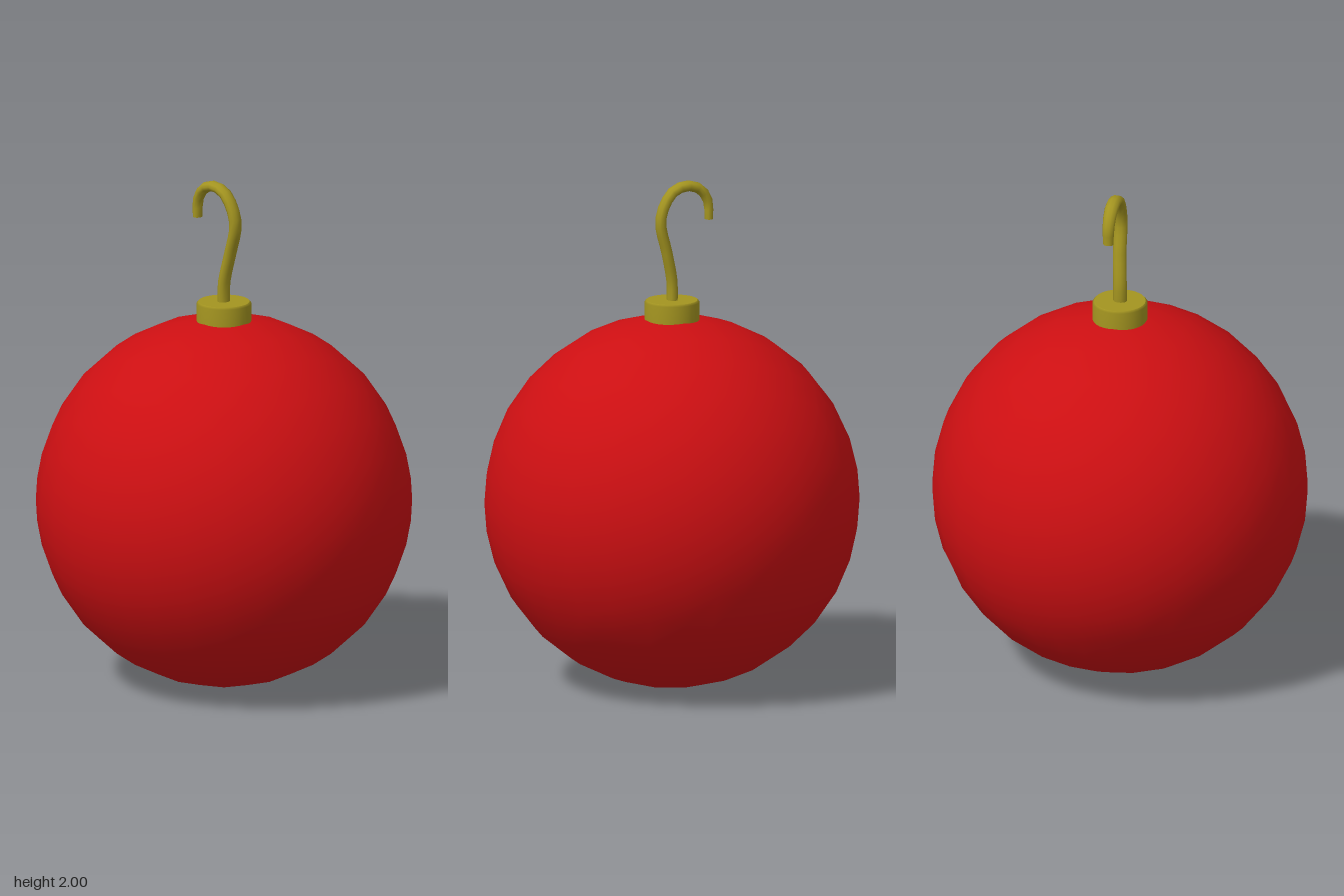
import * as THREE from 'three';

const red = new THREE.MeshStandardMaterial({ color: 0xcc0f12 });
const brass = new THREE.MeshStandardMaterial({ color: 0xa39420 });

function part(name, geometry, material, parent) {
  const mesh = new THREE.Mesh(geometry, material);
  mesh.name = name;
  parent.add(mesh);
  return mesh;
}

// Cube rounded into a ball, with grid lines spread so the cells stay even
function cubeSphere(radius) {
  const spread = [0, 0.167, 0.364, 0.634, 1];
  const warp = (c) => Math.sign(c) * spread[Math.round(Math.abs(c) * 4)];
  const geometry = new THREE.BoxGeometry(2, 2, 2, 8, 8, 8);
  const { position, normal } = geometry.attributes;
  const v = new THREE.Vector3();
  for (let i = 0; i < position.count; i++) {
    v.fromBufferAttribute(position, i);
    v.set(warp(v.x), warp(v.y), warp(v.z)).normalize();
    normal.setXYZ(i, v.x, v.y, v.z);
    position.setXYZ(i, v.x * radius, v.y * radius, v.z * radius);
  }
  return geometry;
}

export function createModel() {
  const group = new THREE.Group();
  group.name = 'ornament';

  // Ball
  part('ball', cubeSphere(0.732), red, group).position.y = 0.732;

  // Cap: side, small bevel and flat top, each with its own normals
  const cap = new THREE.Group();
  cap.name = 'cap';
  group.add(cap);
  const rim = [[0.107, 1.43], [0.107, 1.522], [0.1, 1.53]].map((p) => new THREE.Vector2(...p));
  part('capSide', new THREE.LatheGeometry(rim, 32), brass, cap);
  const top = part('capTop', new THREE.CircleGeometry(0.1, 32), brass, cap);
  top.rotation.x = -Math.PI / 2;
  top.position.y = 1.53;

  // Wire hook, slightly wider in depth than in the plane of its curve
  const hook = new THREE.Group();
  hook.name = 'hook';
  hook.scale.z = 1.3;
  group.add(hook);
  const path = new THREE.CatmullRomCurve3([
    [0, 1.5, 0], [0, 1.6, 0], [0.025, 1.72, -0.006], [0.053, 1.84, -0.008],
    [0.035, 1.91, -0.007], [-0.005, 1.962, -0.006], [-0.062, 1.979, -0.006],
    [-0.118, 1.96, -0.006], [-0.15, 1.91, -0.006], [-0.153, 1.84, -0.006],
  ].map((p) => new THREE.Vector3(...p)));
  const radius = 0.021, steps = 20, sides = 10;
  const wire = new THREE.TubeGeometry(path, steps, radius, sides);
  // Taper the last rings toward the tip
  const pos = wire.attributes.position;
  const v = new THREE.Vector3();
  for (let i = 0; i <= steps; i++) {
    const centre = path.getPointAt(i / steps);
    const size = 1 - 0.25 * Math.max(0, (i / steps - 0.8) / 0.2);
    for (let j = 0; j <= sides; j++) {
      const k = i * (sides + 1) + j;
      v.fromBufferAttribute(pos, k).sub(centre).multiplyScalar(size).add(centre);
      pos.setXYZ(k, v.x, v.y, v.z);
    }
  }
  part('hookWire', wire, brass, hook);
  const tip = part('hookTip', new THREE.CircleGeometry(radius * 0.75, sides), brass, hook);
  tip.position.copy(path.getPointAt(1));
  tip.quaternion.setFromUnitVectors(new THREE.Vector3(0, 0, 1), path.getTangentAt(1));

  return group;
}
